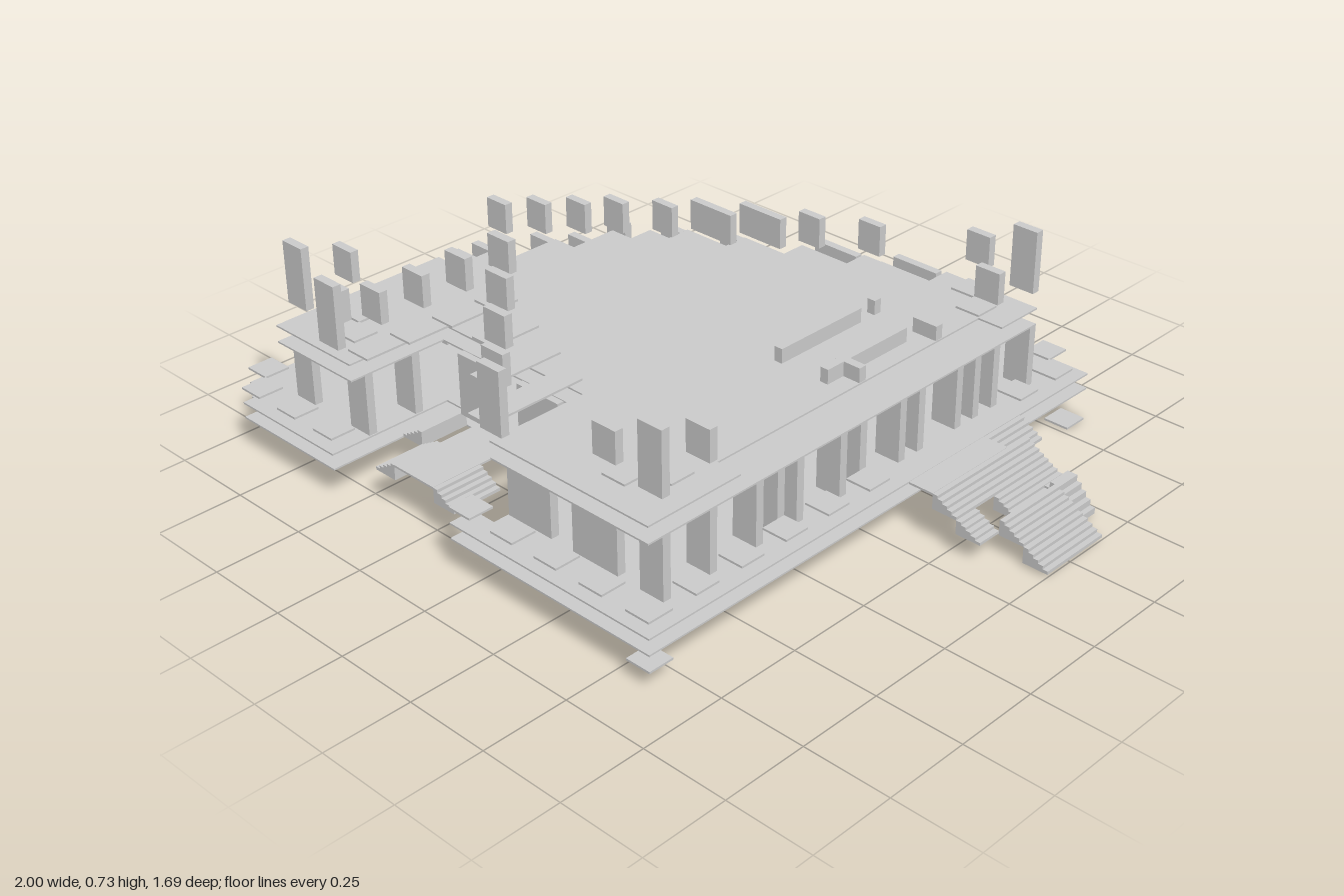
import * as THREE from 'three';

const C = 1 / 13; // plan cell size
const mat = new THREE.MeshStandardMaterial({ color: 0xcccccc, flatShading: true });

export function createModel() {
  const root = new THREE.Group();

  const group = (name) => {
    const g = new THREE.Group();
    g.name = name;
    root.add(g);
    return g;
  };
  // Box given by its limits
  const box = (parent, name, x0, x1, y0, y1, z0, z1) => {
    const m = new THREE.Mesh(new THREE.BoxGeometry(x1 - x0, y1 - y0, z1 - z0), mat);
    m.position.set((x0 + x1) / 2, (y0 + y1) / 2, (z0 + z1) / 2);
    m.name = name;
    parent.add(m);
  };
  // Thin horizontal plate from a plan outline in cells
  const plate = (name, top, pts, holes = []) => {
    const toPlan = (list) => list.map(([x, z]) => new THREE.Vector2(x * C, -z * C));
    const s = new THREE.Shape(toPlan(pts));
    for (const h of holes) s.holes.push(new THREE.Path(toPlan(h)));
    const g = new THREE.ExtrudeGeometry(s, { depth: 0.005, bevelEnabled: false });
    g.rotateX(-Math.PI / 2).translate(0, top - 0.005, 0);
    const m = new THREE.Mesh(g, mat);
    m.name = name;
    root.add(m);
  };
  // Thin tile covering a range of cells
  const tile = (parent, name, i0, i1, j0, j1, y) =>
    box(parent, name, i0 * C, i1 * C, y - 0.003, y + 0.003, j0 * C, j1 * C);
  // Upright panel facing front and back
  const panel = (parent, name, x, z, y0, y1, w = C) =>
    box(parent, name, x - w / 2, x + w / 2, y0, y1, z - 0.0125, z + 0.0125);
  // Solid flight of five steps, from the high cell line ia to the low line ib
  const flight = (parent, ia, ib, j0, j1, top, bottom) => {
    const n = 5, run = (ib - ia) * C / n, rise = (top - bottom) / n;
    for (let k = 0; k < n; k++) {
      const a = ia * C + run * k;
      box(parent, 'step', Math.min(a, a + run), Math.max(a, a + run), bottom, top - rise * k, j0 * C, j1 * C);
    }
  };

  // Lower slab and main deck with the stepped back edge and entrance notch
  const deck = [
    [0, -11], [8, -11], [8, 11], [-1, 11], [-1, 10], [0, 10], [0, 6], [-7, 6], [-7, 11], [-12, 11],
    [-12, 10], [-13, 10], [-13, 1], [-12, 1], [-12, -1], [-11, -1], [-11, -3], [-10, -3], [-10, -5],
    [-9, -5], [-9, -6], [-8, -6], [-8, -7], [-6, -7], [-6, -8], [-4, -8], [-4, -9], [-2, -9], [-2, -10], [0, -10]];
  const rect = (i0, i1, j0, j1) => [[i0, j0], [i1, j0], [i1, j1], [i0, j1]];
  plate('lowerSlab', 0.102, deck, [rect(-4, -2, 2, 4), rect(3, 4, -4, -2), rect(5, 6, -4, -2)]);
  plate('mainDeck', 0.147, deck);

  // Ceiling slab and the roof set further in
  plate('ceilingSlab', 0.332, [
    [0, -9], [7, -9], [7, 10], [0, 10], [0, 6], [-7, 6], [-7, 10], [-11, 10], [-11, 9], [-12, 9],
    [-12, 2], [-11, 2], [-11, 0], [-10, 0], [-10, -2], [-9, -2], [-9, -4], [-8, -4], [-8, -5], [-7, -5],
    [-7, -6], [-5, -6], [-5, -7], [-3, -7], [-3, -8], [0, -8]]);
  plate('roof', 0.38, [
    [0, -8], [3, -8], [3, -9], [7, -9], [7, -7], [6, -7], [6, 6], [7, 6], [7, 10], [0, 10], [0, 6],
    [-7, 6], [-7, 10], [-11, 10], [-11, 6], [-10, 6], [-10, 1], [-9, 1], [-9, -1], [-8, -1], [-8, -3],
    [-7, -3], [-7, -4], [-6, -4], [-6, -5], [-4, -5], [-4, -6], [-2, -6], [-2, -7], [0, -7]]);

  // Wall panels between deck and ceiling: [x, z, width in cells]
  const walls = group('wallPanels');
  [[0.5, -0.68, 1], [0.31, -0.68, 2], [0.08, -0.755, 2], [-0.15, -0.68, 2], [-0.38, -0.525, 2],
    [-0.58, -0.445, 1], [-0.73, -0.37, 1], [-0.73, -0.215, 1], [-0.81, -0.14, 1], [-0.85, 0.015, 2],
    [-0.85, 0.09, 2], [-0.85, 0.25, 2], [-0.85, 0.395, 2], [-0.85, 0.555, 2], [-0.81, 0.71, 1],
    [-0.58, 0.71, 1], [-0.58, 0.555, 1], [-0.38, 0.47, 2], [-0.15, 0.47, 2], [0.08, 0.71, 2],
    [0.31, 0.71, 2]]
    .forEach(([x, z, w]) => panel(walls, 'wallPanel', x, z, 0.145, 0.33, w * C));
  for (const z of [0.71, 0.555, 0.395, 0.32, 0.25, 0.09, 0.015, -0.14, -0.215, -0.37, -0.445, -0.525])
    panel(walls, 'sideWallPanel', 0.5, z, 0.145, 0.33);

  // Parapet panels following the curved back edge
  const parapet = group('parapet');
  [[0.038, 1], [-0.115, 1], [-0.23, 2], [-0.346, 2], [-0.46, 1], [-0.577, 1], [-0.65, 1], [-0.73, 1], [-0.81, 1]]
    .forEach(([x, w], k) => panel(parapet, 'parapetPanel', x, -0.6 + k * C, 0.41, 0.5, w * C));

  // Corner towers: a tall post with lower neighbours and raised tiles
  const towers = group('cornerTowers');
  [[0.5, -0.68], [0.5, 0.71], [0.04, 0.785], [-0.58, 0.785], [-0.81, 0.71]]
    .forEach(([x, z]) => panel(towers, 'towerPost', x, z, 0.43, 0.61));
  [[0.5, -0.525], [0.35, -0.68], [0.5, 0.555], [0.35, 0.71], [-0.65, 0.71], [-0.81, 0.555]]
    .forEach(([x, z]) => panel(towers, 'towerSidePost', x, z, 0.455, 0.545));
  [[5, 7], [4, 8], [5, -8], [4, -9], [-10, 7], [-9, 8]]
    .forEach(([i, j]) => tile(towers, 'towerTile', i, i + 1, j, j + 1, 0.385));

  // Stepped gable over the entrance, rising to the middle
  const gable = group('entranceGable');
  for (let k = 0; k < 4; k++) {
    const y = 0.56 - k * 0.046;
    for (const s of k ? [-1, 1] : [0]) {
      const i = -4 + s * k;
      tile(gable, 'gableTread', i, i + 1, 6, 7 + k, y);
      panel(gable, 'gablePanel', (i + 0.5) * C, (6.15 + k) * C, y + 0.08, y + 0.17);
    }
  }

  // Low walls on the roof
  const low = group('roofLowWalls');
  for (const x of [0.24, 0.395]) {
    box(low, 'lowWall', x - 0.0125, x + 0.0125, 0.378, 0.422, -0.305, 0.005);
    box(low, 'lowWallEnd', x - 0.0125, x + (x > 0.3 ? 0.065 : 0.0125), 0.378, 0.422, -0.385, -0.36);
  }
  box(low, 'crossWall', 0.38, 0.46, 0.378, 0.422, -0.08, -0.055);

  // Flat tiles along the deck edge
  const rails = group('deckEdgeTiles');
  const rail = (i, j) => tile(rails, 'edgeTile', i, i + 1, j, j + 1, 0.19);
  for (const i of [0, 2, 4, 6]) rail(i, -11);
  for (let j = -10; j < 11; j += 2) if (j < -6 || j > -2) rail(7, j);
  for (const i of [-1, 1, 3, 5, -8, -10, -12]) rail(i, 10);
  for (const j of [1, 3, 5, 7, 9]) rail(-13, j);
  [[-2, -10], [-4, -9], [-6, -8], [-8, -7], [-9, -6], [-10, -5], [-11, -3], [-12, -1]]
    .forEach(([i, j]) => rail(i, j));

  // Loose corner tiles below the deck
  tile(rails, 'frontCornerTile', 7, 8, 10, 11, 0.052);
  tile(rails, 'backCornerTile', 7, 8, -11, -10, 0.003);

  // Entrance stairs beside a landing, and short flights set under the deck
  const entry = group('entranceStairs');
  tile(entry, 'landing', -5, -3, 6, 10, 0.143);
  flight(entry, -5, -6, 8, 10, 0.145, 0.1);
  flight(entry, -6, -7, 6, 8, 0.145, 0.1);
  flight(entry, -3, -2, 8, 10, 0.145, 0.1);
  flight(entry, -3, -4, 2, 4, 0.145, 0.1);
  flight(entry, -3, -2, 2, 4, 0.145, 0.1);
  for (const i of [4, 6]) flight(entry, i, i - 1, -4, -2, 0.145, 0.1);

  // Hanging steps inside the right wing
  const inner = group('innerSteps');
  [0.285, 0.24, 0.2].forEach((y, k) => tile(inner, 'innerStep', 2, 3, 8 - k, 9 - k, y));

  // Outer side stairs descending in short flights
  const side = group('sideStairs');
  tile(side, 'upperLanding', 8, 9, -5, -1, 0.143);
  flight(side, 8, 9, -7, -5, 0.145, 0.1);
  for (const [j0, j1] of [[-6, -3], [-2, -1]]) {
    flight(side, 9, 10, j0, j1, 0.145, 0.1);
    flight(side, 10, 11, j0, j1, 0.1, 0.06);
  }
  flight(side, 9, 10, -3, -2, 0.145, 0.1);
  flight(side, 11, 12, -5, -2, 0.1, 0.055);
  flight(side, 12, 13, -5, -2, 0.055, 0.008);
  flight(side, 11, 10, -6, -5, 0.1, 0.01);
  flight(side, 11, 12, -6, -5, 0.1, 0.01);

  return root;
}
